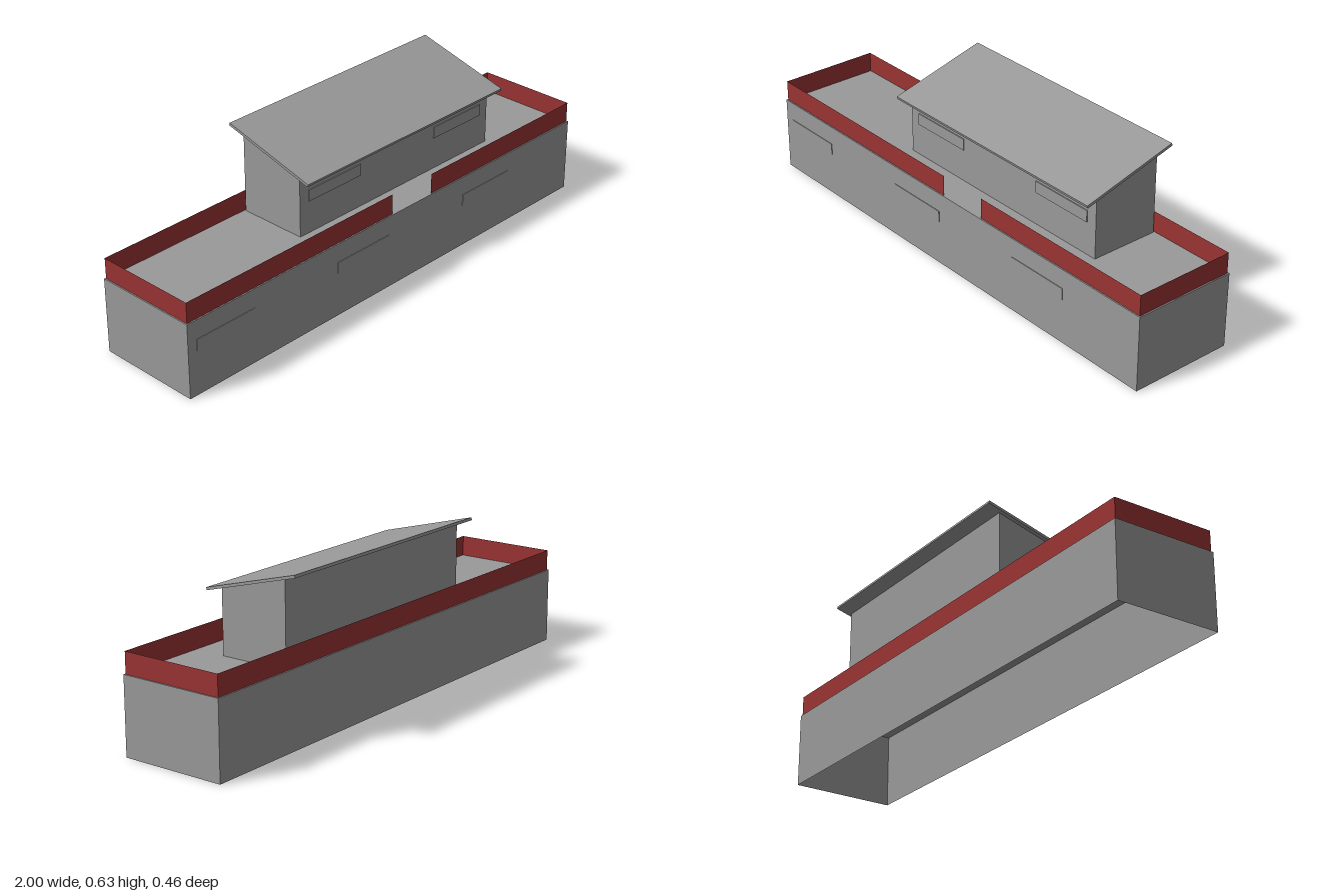
import * as THREE from 'three';

const grey = new THREE.MeshStandardMaterial({ color: 0x999999, side: THREE.DoubleSide });
const red = new THREE.MeshStandardMaterial({ color: 0x993333, side: THREE.DoubleSide });

function named(name, geometry, material = grey) {
  const mesh = new THREE.Mesh(geometry, material);
  mesh.name = name;
  return mesh;
}

// Thin upright walls along a path of [x, z] points; topAt(z) gives the wall height.
function walls(path, bottom, topAt) {
  const positions = [];
  for (let i = 0; i < path.length - 1; i++) {
    const [x0, z0] = path[i];
    const [x1, z1] = path[i + 1];
    const a = [x0, bottom, z0], b = [x1, bottom, z1];
    const c = [x1, topAt(z1), z1], d = [x0, topAt(z0), z0];
    positions.push(...a, ...b, ...c, ...a, ...c, ...d);
  }
  const geometry = new THREE.BufferGeometry();
  geometry.setAttribute('position', new THREE.Float32BufferAttribute(positions, 3));
  geometry.computeVertexNormals();
  return geometry;
}

// Closed rectangular path, starting at the front -x corner
function rectangle(x0, x1, back, front) {
  return [[x0, front], [x1, front], [x1, back], [x0, back], [x0, front]];
}

export function createModel() {
  const model = new THREE.Group();
  model.name = 'building';
  const deckY = 0.291, back = -0.184, front = 0.228;

  // Lower storey: open underneath, closed by the flat deck
  model.add(named('lowerWalls', walls(rectangle(-1, 1, back, front), 0, () => deckY)));
  const deck = named('deck', new THREE.PlaneGeometry(2, front - back).rotateX(-Math.PI / 2));
  deck.position.set(0, deckY, (front + back) / 2);
  model.add(deck);

  // Parapet with an opening in the front
  const px = 0.995, pf = 0.223, pb = -0.179;
  const parapetPath = [[0.195, pf], [px, pf], [px, pb], [-px, pb], [-px, pf], [-0.013, pf]];
  model.add(named('parapet', walls(parapetPath, deckY, () => 0.371), red));

  // Upper room, its walls following the slope of the roof
  const slope = THREE.MathUtils.degToRad(15);
  const roofZ = -0.0365, roofY = 0.5725, thickness = 0.0105;
  const underside = z => roofY - (z - roofZ) * Math.tan(slope) - thickness / 2;
  model.add(named('upperWalls', walls(rectangle(-0.353, 0.648, -0.174, 0.1), deckY, underside)));

  // Single pitch roof slab
  const roof = named('roof', new THREE.BoxGeometry(1.033, thickness, 0.3966));
  roof.position.set(0.1475, roofY, roofZ);
  roof.rotation.x = slope;
  model.add(roof);

  // Window panels: three below, two above
  const addWindow = (name, x, y, wallZ, depth) => {
    const pane = named(name, new THREE.BoxGeometry(0.262, 0.045, depth));
    pane.position.set(x, y, wallZ + depth / 2);
    model.add(pane);
  };
  for (const x of [-0.83, -0.167, 0.5]) addWindow('lowerWindow', x, 0.195, front, 0.0025);
  for (const x of [-0.18, 0.475]) addWindow('upperWindow', x, 0.44, 0.1, 0.0035);

  return model;
}
